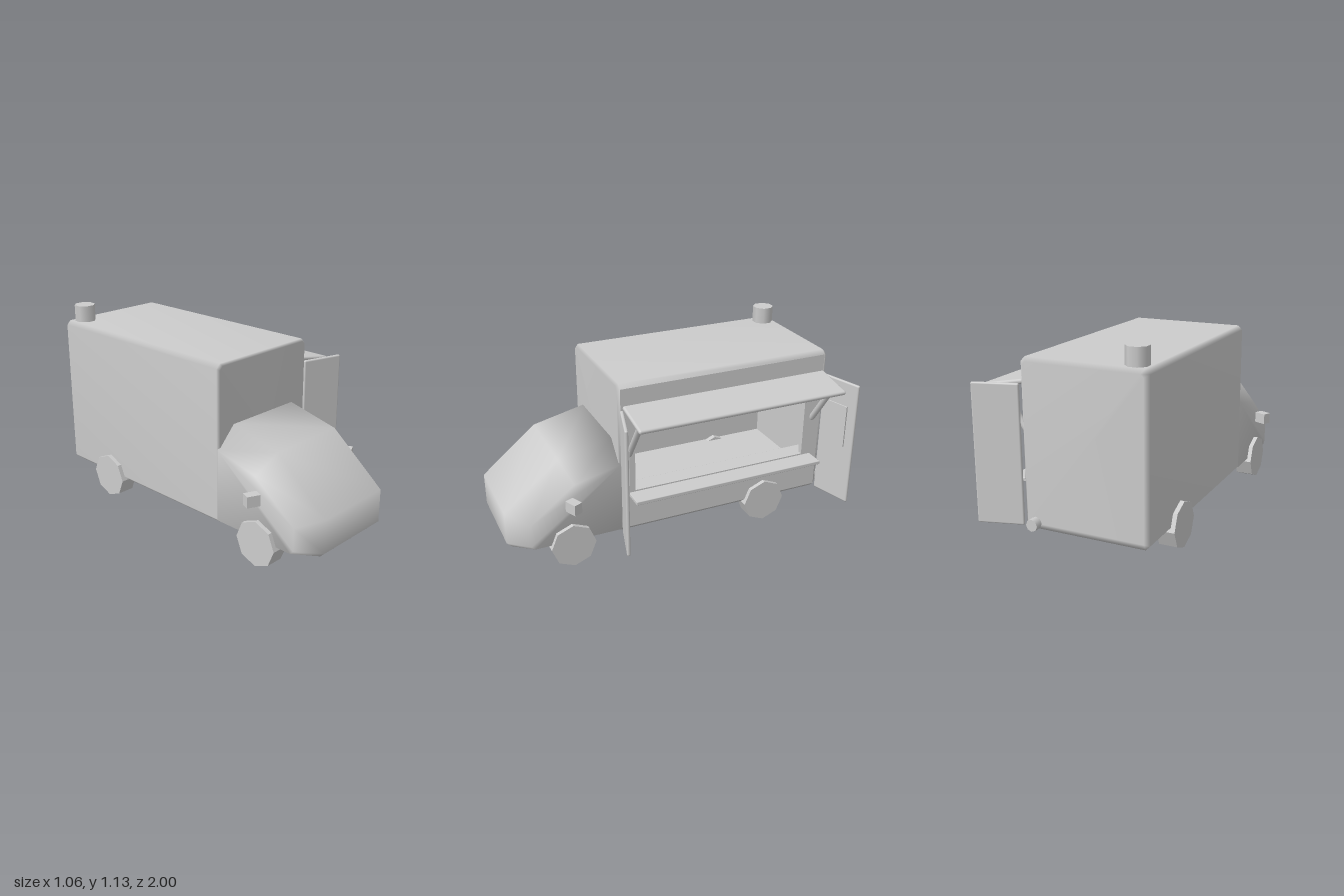
import * as THREE from 'three';
import { RoundedBoxGeometry } from 'three/addons/geometries/RoundedBoxGeometry.js';

const CX = -0.0825; // centre line of the vehicle body

// Smooth skin over a row of equal-length convex rings; skip(i, j) leaves a face open
function loft(rings, skip = () => false) {
  const n = rings[0].length, index = [];
  for (let i = 0; i < rings.length - 1; i++) {
    for (let j = 0; j < n; j++) {
      if (skip(i, j)) continue;
      const k = (j + 1) % n, a = i * n, b = a + n;
      index.push(a + j, a + k, b + k, a + j, b + k, b + j);
    }
  }
  const e = (rings.length - 1) * n;
  for (let j = 1; j < n - 1; j++) index.push(0, j + 1, j, e, e + j, e + j + 1);
  const g = new THREE.BufferGeometry();
  g.setAttribute('position', new THREE.Float32BufferAttribute(rings.flat(2), 3));
  g.setIndex(index);
  g.computeVertexNormals();
  return g;
}

// Octagonal cross-section of the cargo box, starting with its left (+x) side
function boxRing(z, inset) {
  const w = 0.3525 - inset, h = 0.4525 - inset, c = 0.025 - inset * 0.4;
  return [
    [w, c - h], [w, h - c], [w - c, h], [c - w, h],
    [-w, h - c], [-w, c - h], [c - w, -h], [w - c, -h],
  ].map(([x, y]) => [CX + x, 0.5825 + y, z]);
}

export function createModel() {
  const root = new THREE.Group();
  const grey = new THREE.MeshStandardMaterial({ color: 0xcccccc });
  grey.name = 'light grey';

  function add(name, geometry, x = 0, y = 0, z = 0, parent = root) {
    const m = new THREE.Mesh(geometry, grey);
    m.name = name;
    m.position.set(x, y, z);
    parent.add(m);
    return m;
  }
  const box = (w, h, d) => new THREE.BoxGeometry(w, h, d);

  // Cargo box shell, open on the serving side
  const rings = [boxRing(-0.94, 0.022), boxRing(-0.915, 0), boxRing(0.355, 0), boxRing(0.37, 0.012)];
  add('cargoBox', loft(rings, (i, j) => i === 1 && j === 0));

  // Serving wall with its hatch opening
  const rect = (T, u0, u1, v0, v1) => {
    const s = new T();
    s.moveTo(u0, v0).lineTo(u1, v0).lineTo(u1, v1).lineTo(u0, v1).closePath();
    return s;
  };
  const wall = rect(THREE.Shape, -0.355, 0.915, 0.155, 1.01);
  wall.holes.push(rect(THREE.Path, -0.275, 0.81, 0.385, 0.845));
  const wallGeo = new THREE.ExtrudeGeometry(wall, { depth: 0.03, bevelEnabled: false });
  wallGeo.rotateY(Math.PI / 2);
  add('servingWall', wallGeo, 0.24);

  // Interior lining
  add('innerFloor', box(0.64, 0.02, 1.24), -0.08, 0.23, -0.28);
  add('innerCeiling', box(0.64, 0.02, 1.24), -0.08, 0.98, -0.28);
  add('innerFarWall', box(0.02, 0.75, 1.24), -0.4, 0.605, -0.28);
  for (const z of [0.34, -0.9]) add('innerEndWall', box(0.64, 0.75, 0.02), -0.08, 0.605, z);

  // Cab: side profile [z, y], lofted across x with wide chamfers
  const mid = [[0.36, 0.685], [0.68, 0.61], [1, 0.345], [1, 0.155], [0.975, 0.13], [0.36, 0.13]];
  const side = [[0.36, 0.565], [0.63, 0.5], [0.89, 0.3], [0.89, 0.17], [0.87, 0.15], [0.36, 0.15]];
  const cabRing = (profile, x) => profile.map(([z, y]) => [CX + x, y, z]);
  add('cab', loft([
    cabRing(side, -0.3525), cabRing(mid, -0.2375), cabRing(mid, 0.2375), cabRing(side, 0.3525),
  ]));

  // Eight-sided wheels and angled wing mirrors
  for (const s of [1, -1]) {
    for (const z of [0.655, -0.55]) {
      const wheel = new THREE.CylinderGeometry(0.13, 0.13, 0.103, 8).toNonIndexed();
      wheel.computeVertexNormals();
      wheel.rotateZ(Math.PI / 2);
      add('wheel', wheel, CX + s * 0.326, 0.131, z);
    }
    const mirror = add('wingMirror', box(0.075, 0.063, 0.052), CX + s * 0.405, 0.398, 0.655);
    mirror.rotation.y = s * 0.42;
  }

  // Hatch doors swung outward, each with a window panel on the inner face
  for (const s of [1, -1]) {
    const door = new THREE.Group();
    door.name = s > 0 ? 'frontHatchDoor' : 'rearHatchDoor';
    door.position.set(0.4025, 0.5175, s > 0 ? 0.387 : -0.957);
    door.rotation.y = -s * 0.28;
    root.add(door);
    add('doorLeaf', new RoundedBoxGeometry(0.252, 0.757, 0.02, 2, 0.009), 0, 0, 0, door);
    add('doorWindow', box(0.165, 0.255, 0.009), -0.015, 0.105, -s * 0.0145, door);
  }

  // Awning and its support struts
  const awning = add('awning', new RoundedBoxGeometry(0.245, 0.026, 1.26, 2, 0.012), 0.389, 0.882, -0.285);
  awning.rotation.z = -0.185;
  const low = new THREE.Vector3(0.27, 0.62, 0), high = new THREE.Vector3(0.44, 0.865, 0);
  const span = high.clone().sub(low);
  for (const z of [0.31, -0.865]) {
    const strut = add('awningStrut', new THREE.CapsuleGeometry(0.018, span.length(), 3, 10),
      (low.x + high.x) / 2, (low.y + high.y) / 2, z);
    strut.quaternion.setFromUnitVectors(new THREE.Vector3(0, 1, 0), span.clone().normalize());
  }

  // Serving counter through the hatch
  add('counter', new RoundedBoxGeometry(0.24, 0.022, 1.185, 1, 0.004), 0.265, 0.366, -0.278);

  // Roof chimney and rear exhaust pipe
  const chimney = new THREE.CylinderGeometry(0.062, 0.062, 0.12, 8);
  chimney.rotateY(Math.PI / 8);
  add('chimney', chimney, -0.342, 1.072, -0.853);
  const pipe = new THREE.CylinderGeometry(0.033, 0.033, 0.07, 8);
  pipe.rotateX(Math.PI / 2);
  add('exhaustPipe', pipe, 0.2, 0.172, -0.95);

  return root;
}
